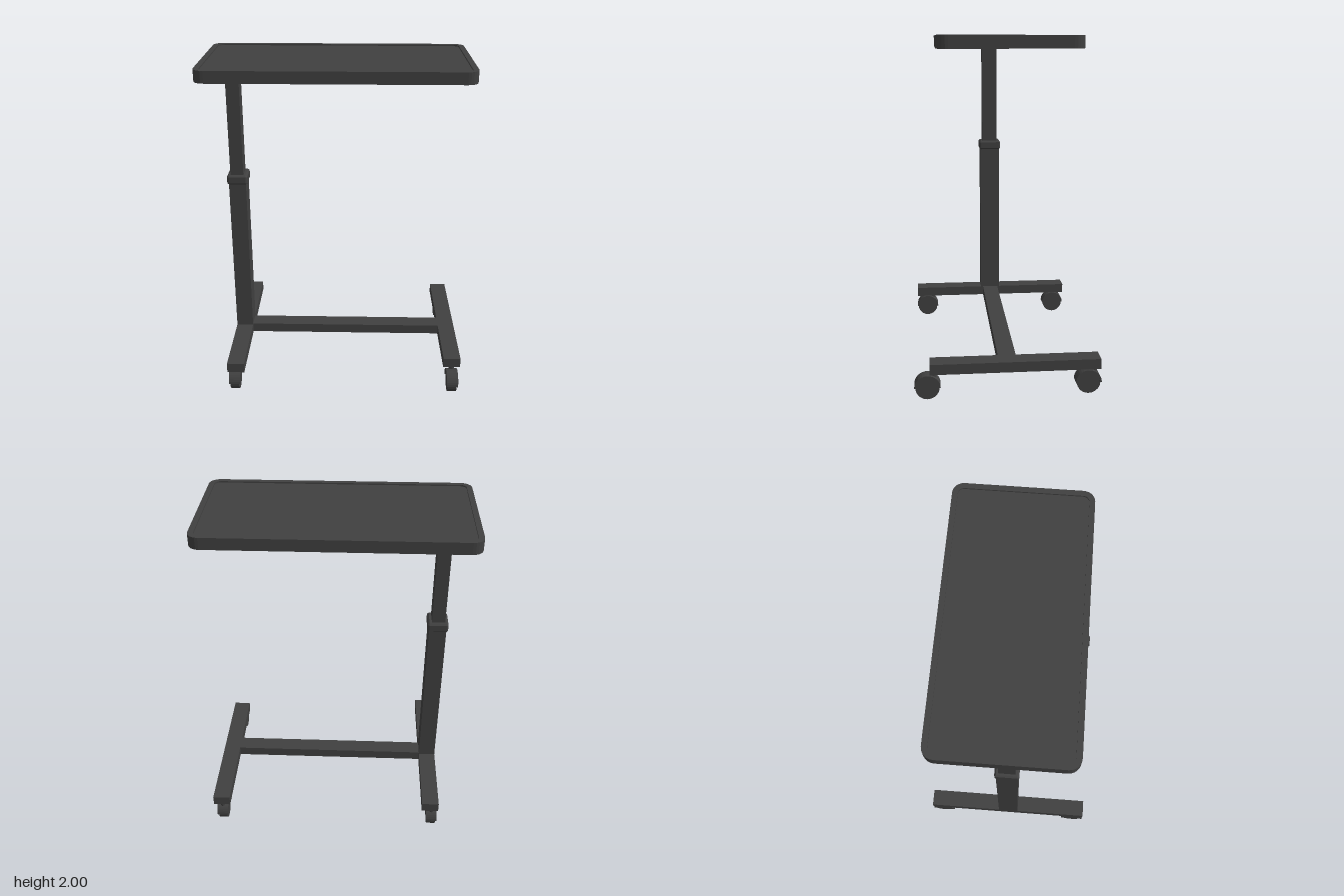
import * as THREE from 'three';

const charcoal = new THREE.MeshStandardMaterial({ color: 0x404040, flatShading: true });
charcoal.name = 'charcoal';

function add(parent, name, geometry) {
  const mesh = new THREE.Mesh(geometry, charcoal);
  mesh.name = name;
  parent.add(mesh);
  return mesh;
}

// Box given by its limits on each axis
function block(parent, name, [x0, x1], [y0, y1], [z0, z1]) {
  const mesh = add(parent, name, new THREE.BoxGeometry(x1 - x0, y1 - y0, z1 - z0));
  mesh.position.set((x0 + x1) / 2, (y0 + y1) / 2, (z0 + z1) / 2);
  return mesh;
}

// Rectangle with rounded corners, centred on the origin
function roundedRect(w, d, r, Type = THREE.Shape) {
  const s = new Type(), a = w / 2 - r, b = d / 2 - r;
  s.absarc(a, b, r, 0, Math.PI / 2);
  s.absarc(-a, b, r, Math.PI / 2, Math.PI);
  s.absarc(-a, -b, r, Math.PI, Math.PI * 1.5);
  s.absarc(a, -b, r, Math.PI * 1.5, Math.PI * 2);
  s.closePath();
  return s;
}

// Extrudes a plan shape upwards from y0
function slab(parent, name, shape, y0, height, x, z, options = {}) {
  const g = new THREE.ExtrudeGeometry(shape, { depth: height, bevelEnabled: false, curveSegments: 3, ...options });
  g.rotateX(-Math.PI / 2);
  const mesh = add(parent, name, g);
  mesh.position.set(x, y0, z);
  return mesh;
}

// Trailing caster: stem, arched fender and wheel
function caster(x, z) {
  const group = new THREE.Group();
  group.name = 'caster';
  const wheel = add(group, 'wheel', new THREE.CylinderGeometry(0.068, 0.068, 0.054, 20));
  wheel.rotation.z = Math.PI / 2;
  const arch = new THREE.Shape();
  arch.absarc(0, 0, 0.074, 0, Math.PI, false);
  arch.absarc(0, 0, 0.063, Math.PI, 0, true);
  arch.closePath();
  const g = new THREE.ExtrudeGeometry(arch, { depth: 0.07, bevelEnabled: false, curveSegments: 8 });
  g.translate(0, 0, -0.035).rotateY(Math.PI / 2);
  add(group, 'fender', g);
  const stem = add(group, 'stem', new THREE.CylinderGeometry(0.017, 0.017, 0.05, 10));
  stem.position.set(0, 0.064, -0.034);
  group.position.set(x, 0.068, z);
  return group;
}

export function createModel() {
  const model = new THREE.Group();
  model.name = 'overbedTable';

  // Table top: base slab, raised rim and recessed work surface
  const top = new THREE.Group();
  top.name = 'tableTop';
  model.add(top);
  const rim = roundedRect(1.565, 0.782, 0.065);
  rim.holes.push(roundedRect(1.5, 0.72, 0.035, THREE.Path));
  slab(top, 'topPanel', roundedRect(1.565, 0.782, 0.065), 1.93, 0.062, 0, -0.006);
  slab(top, 'raisedRim', rim, 1.992, 0.008, 0, -0.006);

  // Telescopic column
  block(model, 'lowerPost', [-0.665, -0.56], [0.2, 1.23], [-0.058, 0.072]);
  block(model, 'upperPost', [-0.655, -0.575], [1.2, 1.935], [-0.042, 0.058]);
  slab(model, 'collar', roundedRect(0.105, 0.125, 0.003), 1.23, 0.04, -0.613, 0.007,
    { bevelEnabled: true, bevelSize: 0.01, bevelThickness: 0.01, bevelSegments: 1 });

  // H-shaped base
  block(model, 'leftFoot', [0.675, 0.78], [0.155, 0.215], [-0.52, 0.445]);
  block(model, 'rightFoot', [-0.665, -0.56], [0.155, 0.215], [-0.525, 0.53]);
  block(model, 'crossBar', [-0.56, 0.675], [0.155, 0.215], [-0.045, 0.058]);

  // Four casters
  for (const x of [-0.625, 0.728]) for (const z of [0.459, -0.455]) model.add(caster(x, z));

  return model;
}
